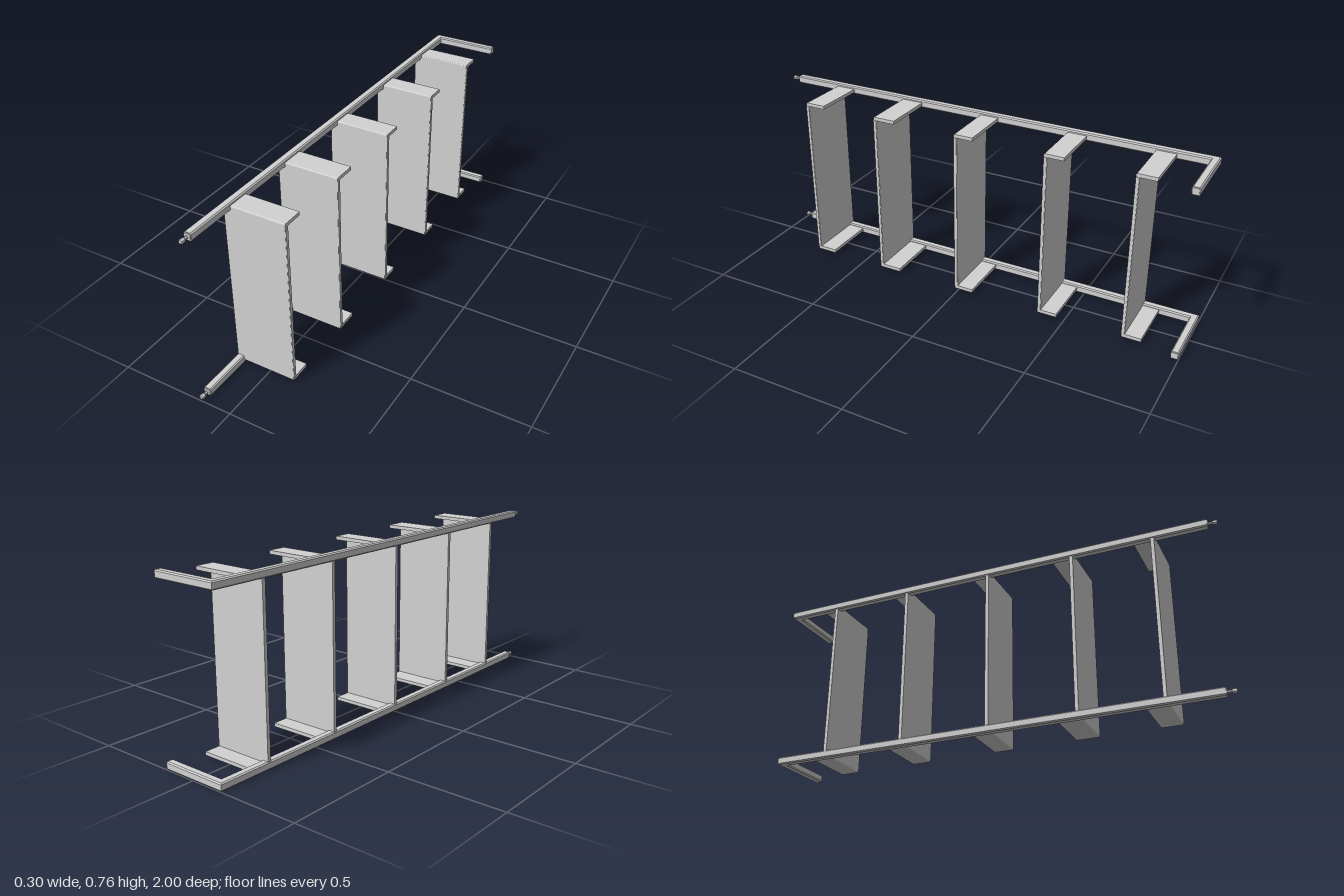
import * as THREE from 'three';

const RAIL_X = -0.133, RAIL_Y = 0.739, H = 0.0165;
const MID_Y = 0.3775;
const BACK = -1 + H;

// Square with cut corners, the section of the rails
function railSection(h, c) {
  return new THREE.Shape([
    [h, -h + c], [h, h - c], [h - c, h], [-h + c, h],
    [-h, h - c], [-h, -h + c], [-h + c, -h], [h - c, -h],
  ].map(([x, y]) => new THREE.Vector2(x, y)));
}

// Straight bar along +z with its starting end cut at 45 degrees
function miteredBar(length, side) {
  const geo = new THREE.ExtrudeGeometry(railSection(H, 0.005), { depth: length, bevelEnabled: false });
  const p = geo.attributes.position;
  for (let i = 0; i < p.count; i++) {
    if (p.getZ(i) < 1e-6) p.setZ(i, side * p.getX(i));
  }
  geo.computeVertexNormals();
  return geo;
}

// Folded sheet section in the (depth, height) plane: web plus two flanges
function channelSection(depth) {
  const t = 0.015, r = 0.006, b = 0.01, u = 0.745;
  const s = new THREE.Shape();
  s.moveTo(-depth, b);
  s.lineTo(-r, b);
  s.quadraticCurveTo(0, b, 0, b + r);
  s.lineTo(0, u - r);
  s.quadraticCurveTo(0, u, -r, u);
  s.lineTo(-depth, u);
  s.lineTo(-depth, u - t);
  s.lineTo(-t, u - t);
  s.lineTo(-t, b + t);
  s.lineTo(-depth, b + t);
  s.closePath();
  return s;
}

export function createModel() {
  const model = new THREE.Group();
  const steel = new THREE.MeshStandardMaterial({ color: 0xd2d2d2 });
  steel.name = 'light grey steel';

  const add = (parent, name, geo, x = 0, y = 0, z = 0) => {
    const mesh = new THREE.Mesh(geo, steel);
    mesh.name = name;
    mesh.position.set(x, y, z);
    parent.add(mesh);
    return mesh;
  };

  // Upper and lower rails, bent sideways at the back
  for (const [label, y] of [['upper', RAIL_Y], ['lower', 2 * MID_Y - RAIL_Y]]) {
    const rail = new THREE.Group();
    rail.name = label + 'Rail';
    rail.position.set(RAIL_X, y, 0);
    model.add(rail);

    add(rail, 'longBar', miteredBar(0.96 - BACK, 1), 0, 0, BACK);
    const arm = add(rail, 'backArm', miteredBar(0.145 - RAIL_X, -1), 0, 0, BACK);
    arm.rotation.y = Math.PI / 2;

    // Slightly stepped tips on both free ends
    const tip = new THREE.ExtrudeGeometry(railSection(H - 0.003, 0.004), { depth: 0.004, bevelEnabled: false });
    add(rail, 'frontTip', tip, 0, 0, 0.96);
    const armTip = add(rail, 'armTip', tip, 0.145 - RAIL_X, 0, BACK);
    armTip.rotation.y = Math.PI / 2;

    // Hexagonal pin with a wider head
    const profile = [[0, 0], [0.006, 0], [0.006, 0.018], [0.01, 0.022], [0.01, 0.036], [0.008, 0.039], [0, 0.039]]
      .map(([r, h]) => new THREE.Vector2(r, h));
    const pinGeo = new THREE.LatheGeometry(profile, 6).toNonIndexed();
    pinGeo.computeVertexNormals();
    add(rail, 'endPin', pinGeo, 0, 0, 0.961).rotation.x = Math.PI / 2;
  }

  // Five folded panels: front face position and flange depth
  const panels = [[0.745, 0.092], [0.398, 0.1], [0.014, 0.085], [-0.382, 0.085], [-0.752, 0.085]];
  panels.forEach(([z, depth], i) => {
    const panel = new THREE.Group();
    panel.name = 'panel' + (i + 1);
    panel.position.z = z;
    model.add(panel);

    const channel = new THREE.ExtrudeGeometry(channelSection(depth), {
      depth: 0.237, bevelEnabled: false, curveSegments: 4,
    });
    // Section depth becomes z, extrusion runs along x
    channel.rotateY(-Math.PI / 2);
    add(panel, 'foldedSheet', channel, 0.117, 0, 0);

    // Edges of the web: one past the flanges, one between the rails
    add(panel, 'outerLip', new THREE.BoxGeometry(0.004, 0.706, 0.013), 0.118, MID_Y, -0.0075);
    add(panel, 'railSideEdge', new THREE.BoxGeometry(0.028, 0.696, 0.015), -0.133, MID_Y, -0.0075);
  });

  return model;
}
